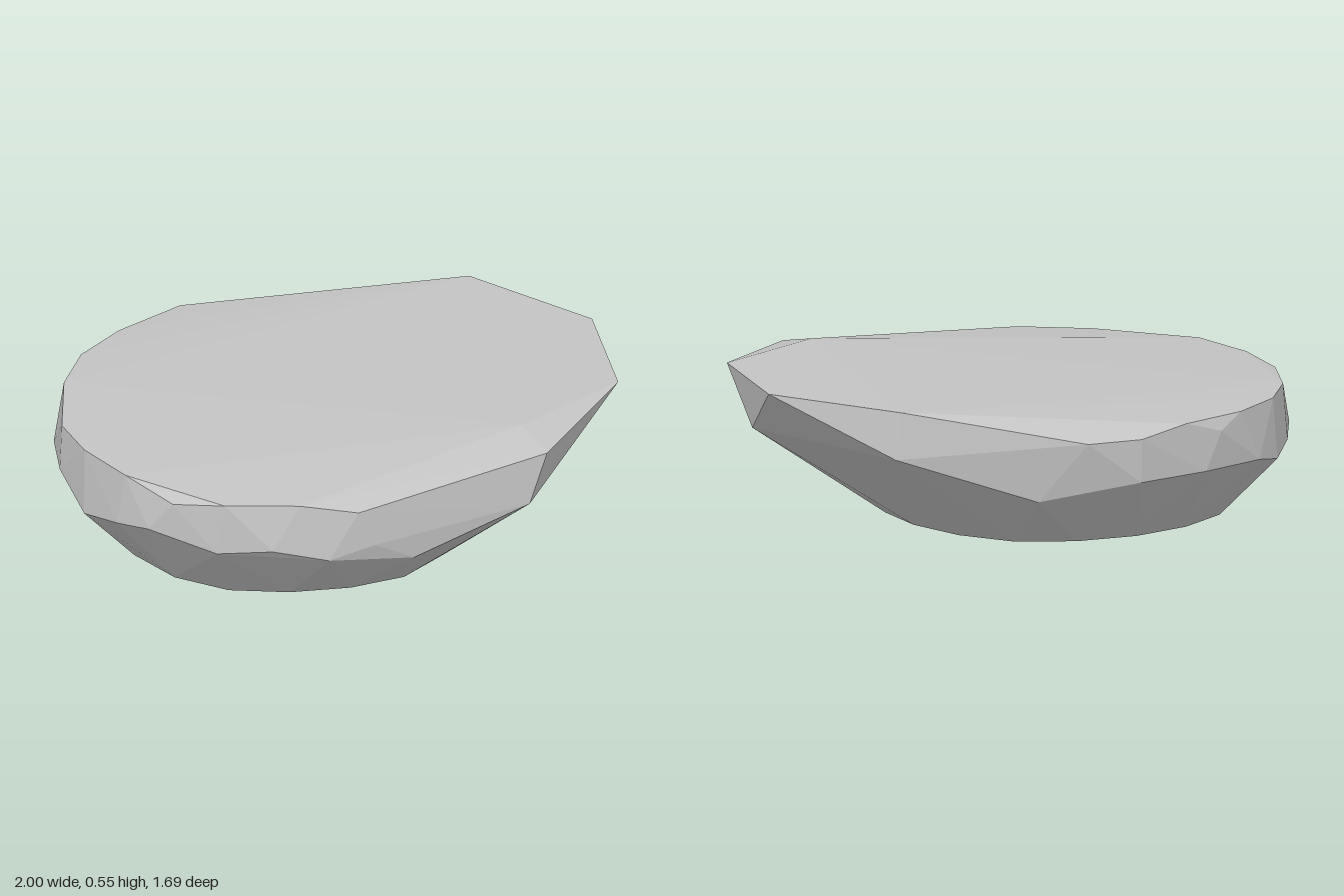
import * as THREE from 'three';
import { ConvexGeometry } from 'three/addons/geometries/ConvexGeometry.js';

// Corners [x, y, z] of the upper rim, running round the flat top
const topRim = [
  [1, 0.56, 0.24], [0.6, 0.56, 0.5], [0.66, 0.52, 0.66], [-0.06, 0.435, 0.83],
  [-0.27, 0.47, 0.805], [-0.53, 0.46, 0.735], [-0.7, 0.43, 0.63], [-0.84, 0.47, 0.45],
  [-0.945, 0.465, 0.22], [-0.985, 0.455, 0], [-0.92, 0.47, -0.3], [-0.82, 0.47, -0.5],
  [-0.65, 0.47, -0.66], [-0.55, 0.425, -0.745], [-0.4, 0.475, -0.8], [-0.22, 0.44, -0.845],
  [-0.02, 0.435, -0.84], [0.63, 0.56, -0.67], [1, 0.56, -0.26],
];

// Corners of the widest belt
const belt = [
  [0.98, 0.375, 0], [0.59, 0.34, 0.695], [0.15, 0.215, 0.79], [0, 0.3, 0.83],
  [-0.17, 0.26, 0.845], [-0.37, 0.3, 0.815], [-0.56, 0.27, 0.735], [-0.78, 0.31, 0.575],
  [-0.87, 0.28, 0.45], [-0.955, 0.235, 0.27], [-1, 0.3, 0.04], [-0.98, 0.3, -0.18],
  [-0.915, 0.28, -0.37], [-0.83, 0.25, -0.52], [-0.73, 0.28, -0.63], [-0.48, 0.29, -0.785],
  [-0.22, 0.28, -0.84], [0.15, 0.22, -0.78], [0.655, 0.39, -0.685],
];

// Nearly flat oval foot, tilted slightly and eased up at its front and left edges
function footRing(count) {
  const ring = [];
  for (let i = 0; i < count; i++) {
    const a = (i / count) * Math.PI * 2;
    const x = -0.16 + 0.64 * Math.cos(a), z = 0.625 * Math.sin(a);
    const bevel = 0.07 * Math.max(0, x - 0.2) + 0.18 * Math.max(0, z - 0.5);
    ring.push([x, Math.max(0, 0.0125 - 0.014 * x - 0.018 * z + bevel), z]);
  }
  return ring;
}

export function createModel() {
  const group = new THREE.Group();
  group.name = 'flatRock';
  const stone = new THREE.MeshStandardMaterial({ color: 0xc3c3c3, flatShading: true });
  stone.name = 'light grey stone';

  // Faceted stone: the hull of the three rings
  const corners = [...topRim, ...belt, ...footRing(18)].map((p) => new THREE.Vector3(...p));
  const rock = new THREE.Mesh(new ConvexGeometry(corners), stone);
  rock.name = 'rock';
  group.add(rock);
  return group;
}
